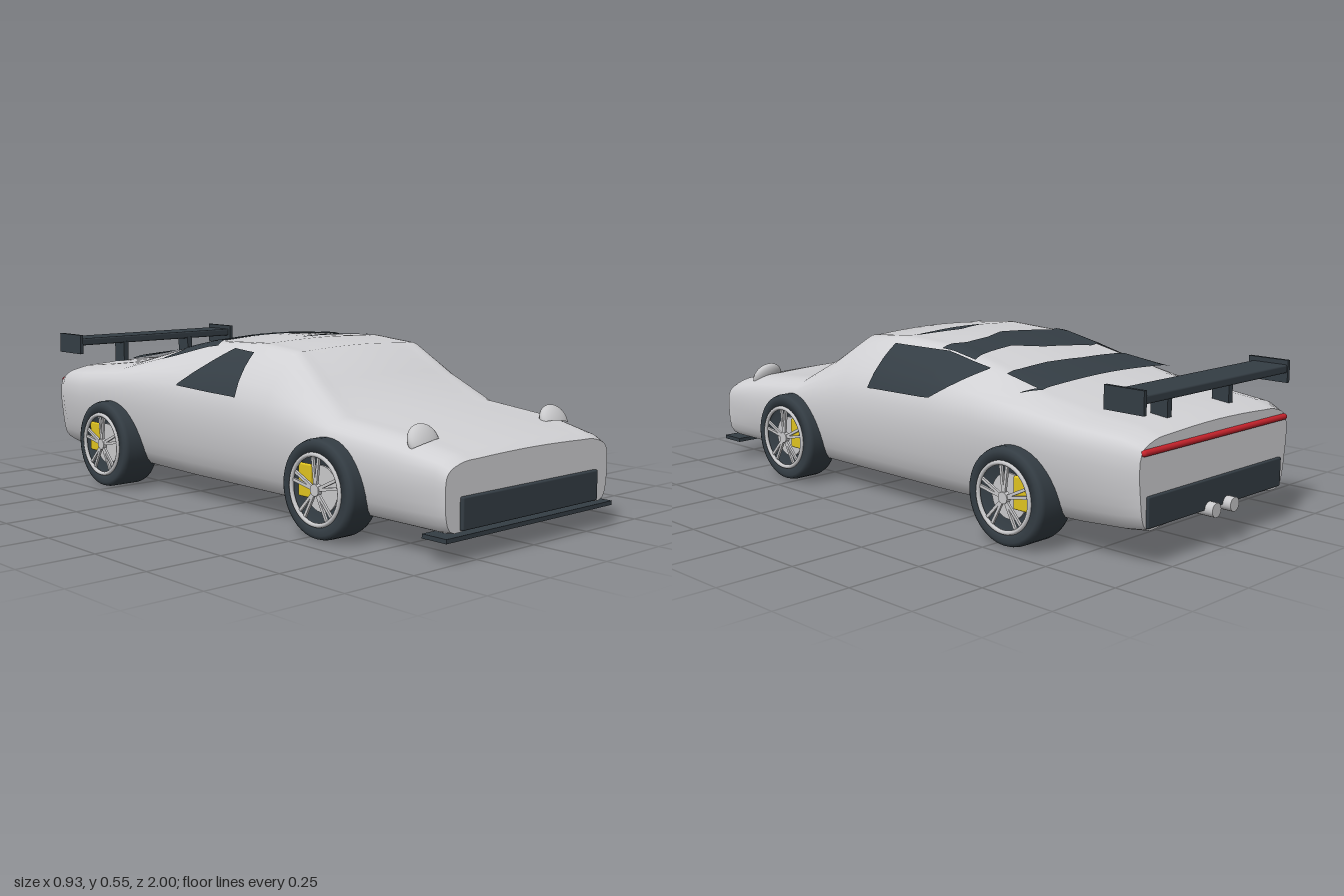
import * as THREE from 'three';
import { RoundedBoxGeometry } from 'three/addons/geometries/RoundedBoxGeometry.js';

const mat = (name, color, side = THREE.FrontSide) => {
  const m = new THREE.MeshStandardMaterial({ color, side });
  m.name = name;
  return m;
};

// Body stations: z, roof y, roof edge x/y, shoulder x/y, belt x/y, sill x/y
const STATIONS = [
  [0.985, 0.285, 0.30, 0.275, 0.355, 0.25, 0.365, 0.19, 0.345, 0.09],
  [0.95, 0.302, 0.31, 0.29, 0.362, 0.265, 0.372, 0.19, 0.345, 0.085],
  [0.80, 0.335, 0.33, 0.32, 0.376, 0.285, 0.385, 0.19, 0.345, 0.085],
  [0.54, 0.36, 0.335, 0.345, 0.385, 0.31, 0.393, 0.20, 0.345, 0.085],
  [0.40, 0.445, 0.30, 0.427, 0.388, 0.345, 0.395, 0.20, 0.345, 0.085],
  [0.27, 0.53, 0.275, 0.515, 0.39, 0.37, 0.395, 0.20, 0.345, 0.085],
  [0.10, 0.543, 0.272, 0.53, 0.395, 0.385, 0.398, 0.20, 0.345, 0.085],
  [-0.15, 0.538, 0.27, 0.52, 0.40, 0.39, 0.40, 0.20, 0.345, 0.085],
  [-0.35, 0.495, 0.28, 0.477, 0.403, 0.39, 0.40, 0.20, 0.345, 0.088],
  [-0.55, 0.44, 0.30, 0.425, 0.405, 0.38, 0.40, 0.205, 0.345, 0.093],
  [-0.75, 0.416, 0.31, 0.40, 0.403, 0.365, 0.40, 0.21, 0.345, 0.10],
  [-0.90, 0.40, 0.305, 0.385, 0.383, 0.355, 0.383, 0.21, 0.34, 0.11],
  [-0.965, 0.38, 0.30, 0.365, 0.355, 0.335, 0.357, 0.21, 0.33, 0.117],
];
const N = 56;

// Closed cross-section at z, starting at the roof centre and running down the +x side
function ring(z) {
  let i = 0;
  while (i < STATIONS.length - 2 && z < STATIONS[i + 1][0]) i++;
  const a = STATIONS[i], b = STATIONS[i + 1];
  const t = (z - a[0]) / (b[0] - a[0]);
  const [, yt, xr, yr, xs, ys, xm, ym, xb, yb] = a.map((v, k) => v + (b[k] - v) * t);
  const half = [[xr * 0.75, yr + (yt - yr) * 0.5], [xr, yr], [xs, ys], [xm, ym], [xb, yb], [xb * 0.7, yb]];
  const all = [[0, yt], ...half, [0, yb], ...half.slice().reverse().map(([x, y]) => [-x, y])];
  const curve = new THREE.CatmullRomCurve3(all.map(([x, y]) => new THREE.Vector3(x, y, z)), true);
  return Array.from({ length: N }, (_, k) => curve.getPoint(k / N));
}

// Height of the upper skin at x, and half width of the side skin at y
function topY(x, z) {
  const r = ring(z), ax = Math.abs(x);
  for (let k = 1; k <= N / 2; k++) {
    if (r[k].x >= ax) return THREE.MathUtils.mapLinear(ax, r[k - 1].x, r[k].x, r[k - 1].y, r[k].y);
  }
  return r[8].y;
}
function sideX(y, z) {
  const r = ring(z);
  for (let k = 1; k <= N / 2; k++) {
    if (r[k].y <= y) return THREE.MathUtils.mapLinear(y, r[k - 1].y, r[k].y, r[k - 1].x, r[k].x);
  }
  return 0;
}

function indexed(pos, idx) {
  const g = new THREE.BufferGeometry();
  g.setAttribute('position', new THREE.Float32BufferAttribute(pos, 3));
  g.setIndex(idx);
  g.computeVertexNormals();
  return g;
}

function bodyGeometry() {
  const pos = [], idx = [];
  const rings = STATIONS.map((s) => ring(s[0]));
  rings.forEach((r) => r.forEach((p) => pos.push(p.x, p.y, p.z)));
  for (let i = 0; i < rings.length - 1; i++) {
    for (let j = 0; j < N; j++) {
      const a = i * N + j, b = i * N + (j + 1) % N;
      idx.push(a, b, a + N, b, b + N, a + N);
    }
  }
  // flat nose and tail
  [rings[0], rings[rings.length - 1]].forEach((r, e) => {
    const c = pos.length / 3;
    pos.push(0, 0.2, r[0].z);
    r.forEach((p) => pos.push(p.x, p.y, p.z));
    for (let j = 0; j < N; j++) {
      const a = c + 1 + j, b = c + 1 + (j + 1) % N;
      idx.push(c, ...(e ? [a, b] : [b, a]));
    }
  });
  return indexed(pos, idx);
}

// Thin panel between two edges given as columns [u, low, high], laid on the skin by place(u, v)
function panel(columns, place) {
  const pos = [], idx = [], M = 8, S = 6;
  const rows = (columns.length - 1) * S;
  for (let i = 0; i <= rows; i++) {
    const c = Math.min(Math.floor(i / S), columns.length - 2), t = i / S - c;
    const [u, lo, hi] = columns[c].map((v, k) => v + (columns[c + 1][k] - v) * t);
    for (let j = 0; j <= M; j++) pos.push(...place(u, lo + (hi - lo) * j / M));
  }
  for (let i = 0; i < rows; i++) {
    for (let j = 0; j < M; j++) {
      const a = i * (M + 1) + j, b = a + M + 1;
      idx.push(a, a + 1, b, b, a + 1, b + 1);
    }
  }
  return indexed(pos, idx);
}

export function createModel() {
  const car = new THREE.Group();
  car.name = 'sportsCar';
  const paint = mat('silverPaint', 0xd0d0d3);
  const dark = mat('darkTrim', 0x343d44);
  const glass = mat('darkGlass', 0x343d44, THREE.DoubleSide);
  const metal = mat('metal', 0xc9c9cb);
  const red = mat('redLight', 0xc8232c);
  const yellow = mat('yellowCaliper', 0xe0c41f);

  const add = (name, geo, m, x = 0, y = 0, z = 0, parent = car) => {
    const mesh = new THREE.Mesh(geo, m);
    mesh.name = name;
    mesh.position.set(x, y, z);
    parent.add(mesh);
    return mesh;
  };
  const box = (w, h, d) => new THREE.BoxGeometry(w, h, d);

  add('body', bodyGeometry(), paint);

  // Roof and rear glass
  const onTop = (x, z) => [x, topY(x, z) + 0.005, z];
  const rearTop = (x, z) => [x, topY(x, z) + 0.006 + 0.018 * THREE.MathUtils.clamp((-0.39 - z) / 0.16, 0, 1), z];
  add('rearWindow', panel([[-0.32, -0.55, -0.54], [-0.28, -0.55, -0.39], [-0.05, -0.55, -0.40], [0.1, -0.55, -0.385],
    [0.28, -0.55, -0.385], [0.3, -0.55, -0.53], [0.345, -0.505, -0.5]], rearTop), glass);
  add('roofGlass', panel([[-0.33, -0.36, -0.35], [-0.285, -0.29, -0.10], [-0.2, -0.31, -0.13], [0, -0.28, -0.085],
    [0.1, -0.23, -0.125], [0.2, -0.235, -0.13], [0.28, -0.25, -0.10]], onTop), glass);
  add('roofSliver', panel([[-0.06, 0.072, 0.08], [0.06, 0.04, 0.085], [0.24, 0.074, 0.078]], onTop), glass);

  // Side glass
  const onSide = (s) => (z, y) => [s * (sideX(y, z) + 0.005), y + 0.002, z];
  add('leftWindow', panel([[0.13, 0.375, 0.38], [0.105, 0.377, 0.515], [-0.14, 0.383, 0.515], [-0.17, 0.386, 0.51],
    [-0.25, 0.435, 0.495], [-0.32, 0.48, 0.483]], onSide(1)), glass);
  add('rightWindow', panel([[0.13, 0.375, 0.38], [0.11, 0.377, 0.51], [0.0, 0.38, 0.515], [-0.17, 0.387, 0.392]],
    onSide(-1)), glass);

  // Nose and tail trim
  add('grille', new RoundedBoxGeometry(0.61, 0.094, 0.03, 2, 0.005), dark, 0, 0.135, 0.982);
  add('splitter', box(0.75, 0.013, 0.09), dark, 0, 0.071, 0.955);
  add('rearPanel', new RoundedBoxGeometry(0.66, 0.092, 0.02, 2, 0.005), dark, 0, 0.165, -0.963);
  const lightBar = add('tailLight', new THREE.CapsuleGeometry(0.01, 0.69, 4, 10), red, 0, 0.335, -0.965);
  lightBar.rotation.z = Math.PI / 2;

  for (const s of [1, -1]) {
    // Headlight domes
    const lamp = add('headlight', new THREE.SphereGeometry(1, 28, 12, 0, Math.PI * 2, 0, Math.PI * 0.55), metal,
      s * 0.293, 0.314, 0.835);
    lamp.scale.set(0.058, 0.053, 0.026);
    lamp.rotation.set(-0.45, 0, -s * 0.14);

    // Exhaust tips
    const pipe = add('exhaust', new THREE.CylinderGeometry(0.022, 0.022, 0.075, 20), metal, s * 0.045, 0.122, -0.9625);
    pipe.rotation.x = Math.PI / 2;

    // Wing supports and end plates
    add('wingSupport', box(0.02, 0.09, 0.06), dark, s * 0.15, 0.43, -0.87);
    add('wingEndPlate', box(0.012, 0.07, 0.14), dark, s * 0.352, 0.475, -0.9);
  }
  add('wing', new RoundedBoxGeometry(0.7, 0.026, 0.125, 2, 0.006), dark, 0, 0.483, -0.905);

  // Wheels, built with the outer face towards +x
  function wheel(name, side, z, inner, outer) {
    const g = new THREE.Group();
    g.name = name;
    g.position.set(0, 0.151, z);
    g.rotation.y = side > 0 ? 0 : Math.PI;
    const profile = [[0, inner], [0.135, inner], [0.146, inner + 0.005], [0.15, inner + 0.018], [0.15, outer - 0.018],
      [0.146, outer - 0.005], [0.135, outer], [0.108, outer], [0.105, outer - 0.03], [0, outer - 0.03]];
    const turn = (mesh) => { mesh.rotation.z = -Math.PI / 2; };
    turn(add('tyre', new THREE.LatheGeometry(profile.map(([r, y]) => new THREE.Vector2(r, y)), 40), dark, 0, 0, 0, g));
    add('rimRing', new THREE.TorusGeometry(0.104, 0.007, 8, 40), metal, outer, 0, 0, g).rotation.y = Math.PI / 2;
    turn(add('brakeDisc', new THREE.CylinderGeometry(0.07, 0.07, 0.006, 32), metal, outer - 0.027, 0, 0, g));
    add('caliper', new RoundedBoxGeometry(0.014, 0.1, 0.055, 2, 0.005), yellow, outer - 0.015, 0.02, -side * 0.057, g);
    turn(add('hub', new THREE.CylinderGeometry(0.018, 0.02, 0.014, 20), metal, outer - 0.003, 0, 0, g));
    for (let i = 0; i < 5; i++) {
      for (const k of [-1, 1]) {
        const arm = new THREE.Group();
        arm.name = 'spoke';
        arm.rotation.x = (i / 5) * Math.PI * 2 + k * 0.13;
        add('spokeBar', box(0.008, 0.094, 0.009), metal, outer - 0.003, 0.057, 0, arm);
        g.add(arm);
      }
    }
    car.add(g);
  }
  for (const s of [1, -1]) {
    const label = s > 0 ? 'Left' : 'Right';
    wheel('front' + label + 'Wheel', s, 0.545, 0.32, 0.437);
    wheel('rear' + label + 'Wheel', s, -0.545, 0.32, 0.459);
  }
  return car;
}
